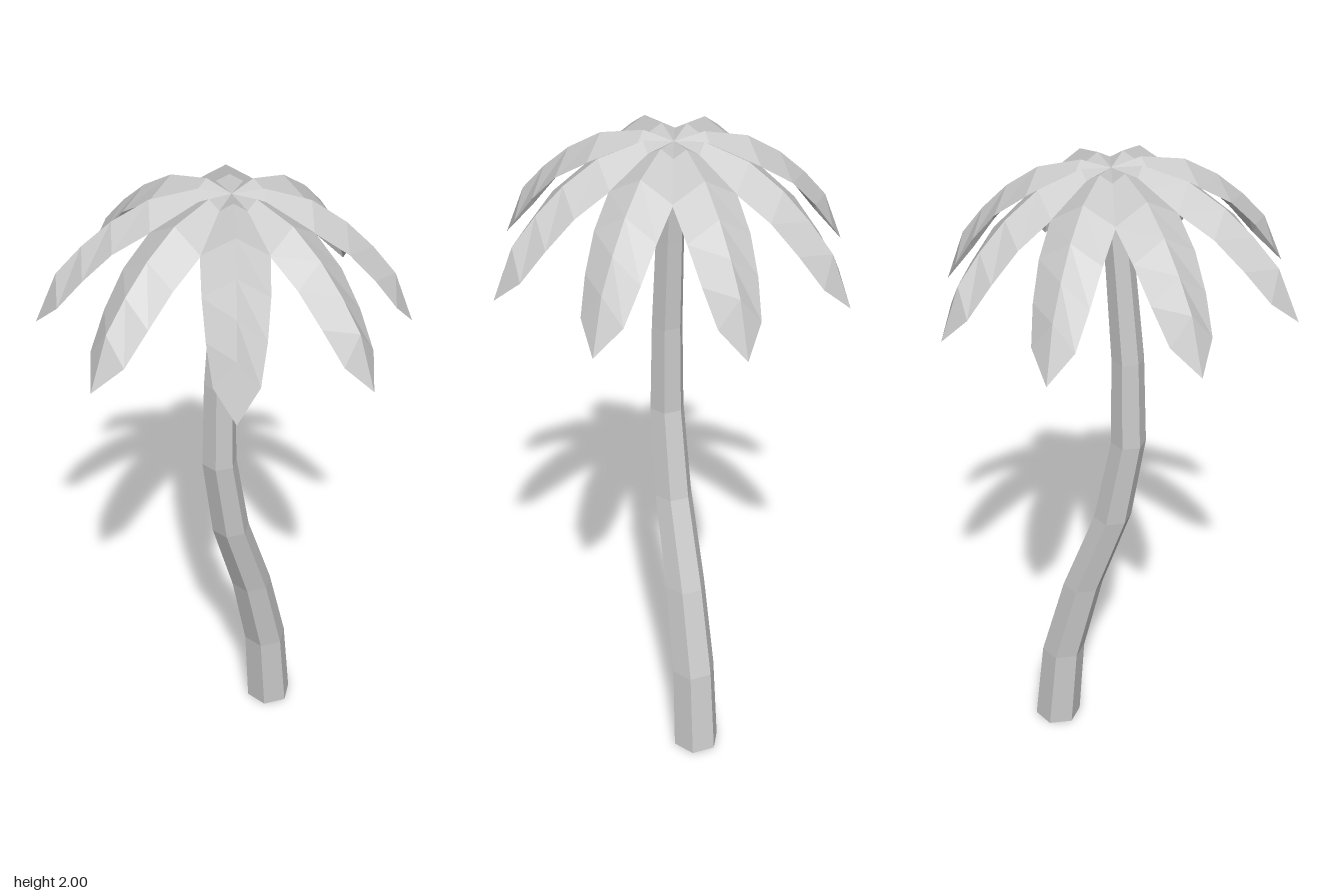
import * as THREE from 'three';

const material = new THREE.MeshStandardMaterial({ color: 0xcccccc, flatShading: true, side: THREE.DoubleSide });
const CROWN_X = 0.02, CROWN_Z = 0.005, REACH = 0.53;

// Six-sided trunk: a tapering cylinder whose rings follow a bent centre line
function makeTrunk() {
  const centreX = [0.215, 0.19, 0.118, 0.018, -0.033, -0.03, -0.008, 0.018];
  const height = 1.96, rows = centreX.length - 1;
  const geometry = new THREE.CylinderGeometry(0.038, 0.073, height, 6, rows);
  geometry.translate(0, height / 2, 0);
  const p = geometry.attributes.position;
  for (let i = 0; i < p.count; i++) {
    const row = Math.round(p.getY(i) / height * rows);
    p.setX(i, p.getX(i) + centreX[row]);
    p.setZ(i, p.getZ(i) + 0.006);
  }
  geometry.computeVertexNormals();
  const mesh = new THREE.Mesh(geometry, material);
  mesh.name = 'trunk';
  return mesh;
}

// Sections along a frond: [distance, rib height, half width, drop of the edges]
const sections = [
  [0, 1.983, 0, 0],
  [0.09, 1.998, 0.07, 0.04],
  [0.22, 1.965, 0.093, 0.053],
  [0.32, 1.9, 0.09, 0.055],
  [0.4, 1.825, 0.08, 0.067],
  [0.47, 1.742, 0.062, 0.078],
  [REACH, 1.588, 0, 0],
];

// Drooping frond folded along its rib, fanning out from the crown
function makeFrond(angle) {
  const dx = Math.cos(angle), dz = Math.sin(angle);
  const positions = [], indices = [];
  sections.forEach(([r, y, half, drop], row) => {
    const shift = 1 - (r / REACH) ** 2;
    for (const side of [-1, 0, 1]) {
      const x = dx * r - dz * half * side + CROWN_X * shift;
      const z = dz * r + dx * half * side + CROWN_Z * shift;
      // the whole crown leans slightly towards +x
      positions.push(x, y - drop * Math.abs(side) - 0.045 * (x - CROWN_X), z);
    }
    if (row === 0) return;
    for (let k = 0; k < 2; k++) {
      const a = (row - 1) * 3 + k, b = a + 3;
      if (row > 1) indices.push(a, a + 1, b);
      if (row === 1) indices.push(a, b + 1, b);
      else if (row < sections.length - 1) indices.push(a + 1, b + 1, b);
    }
  });
  const geometry = new THREE.BufferGeometry();
  geometry.setAttribute('position', new THREE.Float32BufferAttribute(positions, 3));
  geometry.setIndex(indices);
  geometry.computeVertexNormals();
  return new THREE.Mesh(geometry, material);
}

export function createModel() {
  const model = new THREE.Group();
  model.name = 'palmTree';
  model.add(makeTrunk());

  // Eight fronds around the crown
  const crown = new THREE.Group();
  crown.name = 'crown';
  for (let i = 0; i < 8; i++) {
    const frond = makeFrond(i * Math.PI / 4);
    frond.name = 'frond' + (i + 1);
    crown.add(frond);
  }
  model.add(crown);
  return model;
}
